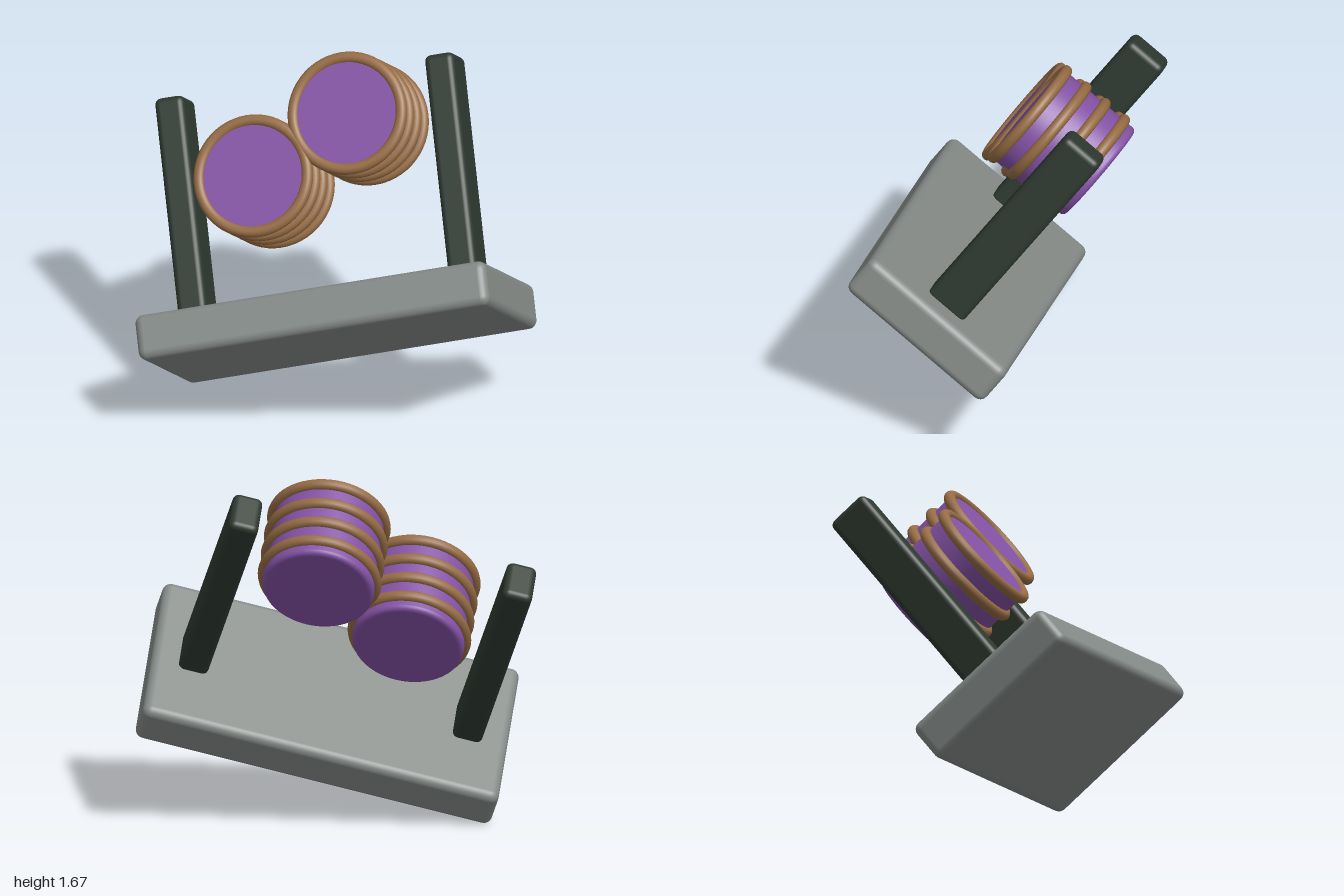
import * as THREE from 'three';
import { RoundedBoxGeometry } from 'three/addons/geometries/RoundedBoxGeometry.js';

const mat = (name, color) => {
  const m = new THREE.MeshStandardMaterial({ color });
  m.name = name;
  return m;
};

export function createModel() {
  const stone = mat('grey stone', 0x848a87);
  const dark = mat('dark green wood', 0x2d382f);
  const purple = mat('purple', 0x8351a4);
  const brown = mat('brown rim', 0x966c44);

  const body = new THREE.Group();
  body.name = 'tiltedBody';
  const add = (parent, name, geometry, material, x, y, z) => {
    const mesh = new THREE.Mesh(geometry, material);
    mesh.name = name;
    mesh.position.set(x, y, z);
    parent.add(mesh);
    return mesh;
  };

  // Base slab and two posts standing on it
  add(body, 'base', new RoundedBoxGeometry(1.69, 0.21, 0.82, 3, 0.04), stone, 0, 0, 0);
  const postGeometry = new RoundedBoxGeometry(0.14, 1.06, 0.21, 3, 0.03);
  for (const side of [-1, 1]) {
    add(body, side < 0 ? 'rightPost' : 'leftPost', postGeometry, dark, side * 0.65, 0.615, 0);
  }

  // Rounded drum profile, turned about the stack axis
  const R = 0.258, back = -0.42, front = 0.012, bevel = 0.022;
  const profile = [new THREE.Vector2(0, back), new THREE.Vector2((R - bevel) * 0.98, back)];
  for (let i = 0; i <= 5; i++) {
    const a = (i / 5) * Math.PI / 2;
    profile.push(new THREE.Vector2(R - bevel + bevel * Math.sin(a), back + bevel - bevel * Math.cos(a)));
  }
  for (let i = 0; i <= 5; i++) {
    const a = (i / 5) * Math.PI / 2;
    profile.push(new THREE.Vector2(R - bevel + bevel * Math.cos(a), front - bevel + bevel * Math.sin(a)));
  }
  profile.push(new THREE.Vector2((R - bevel) * 0.98, front), new THREE.Vector2(0, front));
  const drumGeometry = new THREE.LatheGeometry(profile, 48).rotateX(Math.PI / 2);
  const ringGeometry = new THREE.TorusGeometry(0.259, 0.027, 12, 56);

  // Two drums, each with four rims, one higher than the other
  for (const [name, x, y] of [['lowerStack', -0.24, 0.683], ['upperStack', 0.238, 0.903]]) {
    const stack = new THREE.Group();
    stack.name = name;
    stack.position.set(x, y, 0.27);
    add(stack, 'drum', drumGeometry, purple, 0, 0, 0);
    for (let i = 0; i < 4; i++) add(stack, 'rim', ringGeometry, brown, 0, 0, -0.116 * i);
    body.add(stack);
  }

  // Tilt the whole assembly
  const basis = new THREE.Matrix4().makeBasis(
    new THREE.Vector3(0.807, 0.256, -0.531).normalize(),
    new THREE.Vector3(-0.490, 0.791, -0.363).normalize(),
    new THREE.Vector3(0.328, 0.554, 0.764).normalize()
  );
  body.quaternion.setFromRotationMatrix(basis);

  const model = new THREE.Group();
  model.name = 'model';
  model.add(body);

  // Stand on the ground, centred
  model.updateMatrixWorld(true);
  const box = new THREE.Box3().setFromObject(model, true);
  const c = box.getCenter(new THREE.Vector3());
  body.position.set(-c.x, -box.min.y, -c.z);
  return model;
}
